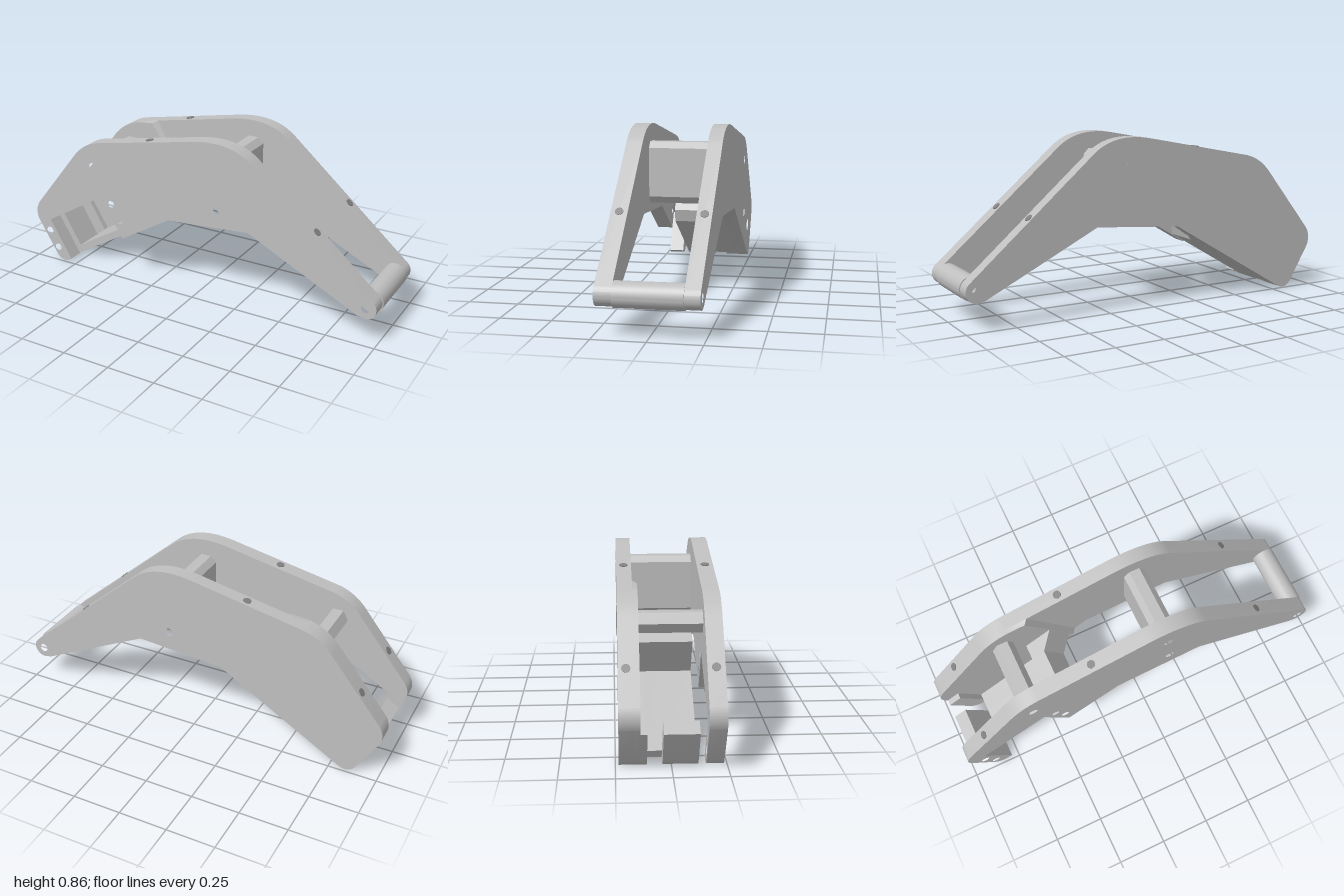
import * as THREE from 'three';
import { toCreasedNormals } from 'three/addons/utils/BufferGeometryUtils.js';

const metal = new THREE.MeshStandardMaterial({ color: 0xbfbfbf });
metal.name = 'plain grey';
const shade = new THREE.MeshStandardMaterial({ color: 0x808080 });
shade.name = 'hole grey';

// Slanted frame of the motor bay: u runs along its floor, v away from it
const U = [0.859, 0.512];
const uv = (u, v) => [u * U[0] - v * U[1], u * U[1] + v * U[0]];
const uOf = (x, y) => x * U[0] + y * U[1];

function shapeOf(points, holes = []) {
  const s = new THREE.Shape(points.map(p => new THREE.Vector2(...p)));
  return addHoles(s, holes);
}
function addHoles(s, holes) {
  for (const [x, y, r] of holes) s.holes.push(new THREE.Path().absarc(x, y, r, 0, Math.PI * 2, true));
  return s;
}

// Extrude between two depths, optionally moving vertices by a rule
function part(group, name, shape, z0, z1, move) {
  let g = new THREE.ExtrudeGeometry(shape, { depth: z1 - z0, bevelEnabled: false, curveSegments: 20 });
  g.translate(0, 0, z0);
  if (move) {
    const p = g.attributes.position;
    for (let i = 0; i < p.count; i++) {
      const d = move(uOf(p.getX(i), p.getY(i)), p.getZ(i));
      p.setX(i, p.getX(i) + d * U[0]);
      p.setY(i, p.getY(i) + d * U[1]);
    }
  }
  g = toCreasedNormals(g, 0.5);
  const m = new THREE.Mesh(g, metal);
  m.name = name;
  group.add(m);
}

// Rounded left end, from the floor corner up to the top edge
function leftEnd(s) {
  s.lineTo(...uv(-0.674, 0.415));
  s.quadraticCurveTo(...uv(-0.742, 0.415), ...uv(-0.742, 0.483));
  s.lineTo(-0.99, 0.21);
  s.quadraticCurveTo(-1.018, 0.266, -0.98, 0.32);
  s.lineTo(-0.725, 0.636);
  s.quadraticCurveTo(-0.658, 0.72, -0.564, 0.738);
}

function plateShape(notch, holes) {
  const s = new THREE.Shape();
  s.moveTo(0.906, 0.139);
  s.lineTo(0.313, 0.433);
  s.lineTo(-0.147, 0.396);
  if (notch) for (const [u, v] of [[-0.259, 0.415], [-0.259, 0.662], [-0.667, 0.662], [-0.667, 0.416]]) s.lineTo(...uv(u, v));
  leftEnd(s);
  s.lineTo(0.008, 0.85);
  s.quadraticCurveTo(0.214, 0.89, 0.33, 0.79);
  s.lineTo(0.974, 0.2315);
  s.absarc(0.938, 0.19, 0.055, 0.855, -2.03, true);
  return addHoles(s, holes);
}

export function createModel() {
  const root = new THREE.Group();
  root.name = 'legSegment';
  const r = 0.022;
  const leftPin = [-0.605, 0.598, r], upperPin = [0.125, 0.725, r], lowerPin = [0.14, 0.52, r], tipPin = [0.938, 0.19, r];
  const pins = [leftPin, upperPin, lowerPin, tipPin];
  const bayHoles = [[-0.775, 0.19, 0.033], [-0.595, 0.295, r]];
  const screws = [[-0.5, 0.41], [-0.45, 0.325], [-0.92, 0.16], [-0.87, 0.07]].map(p => [...p, 0.02]);

  // Side plates
  part(root, 'frontPlate', plateShape(true, [...pins, ...screws]), 0.155, 0.235);
  part(root, 'backPlate', plateShape(false, [...pins, ...bayHoles]), -0.235, -0.163);

  // Raised pad inside the back plate, with a sloped end
  const pad = new THREE.Shape();
  pad.moveTo(...uv(0, 0.415));
  leftEnd(pad);
  pad.lineTo(-0.453, 0.76);
  addHoles(pad, [leftPin, ...bayHoles]);
  part(root, 'backPad', pad, -0.163, -0.14, (u, z) => (u > -0.02 && z > -0.15 ? -0.023 : 0));

  // Motor bay: floor with left wall, wall split by a cable slot
  const bay = new THREE.Group();
  bay.name = 'motorBay';
  root.add(bay);
  const wall = new THREE.Shape();
  wall.moveTo(...uv(-0.15, 0.415));
  wall.lineTo(...uv(-0.674, 0.415));
  wall.quadraticCurveTo(...uv(-0.742, 0.415), ...uv(-0.742, 0.483));
  for (const [u, v] of [[-0.742, 0.66], [-0.667, 0.66], [-0.667, 0.453], [-0.15, 0.453]]) wall.lineTo(...uv(u, v));
  part(bay, 'floorAndWall', wall, -0.04, 0.12);
  part(bay, 'floorAndWallBehindSlot', wall, -0.14, -0.11);
  part(bay, 'slotFloor', shapeOf([[-0.15, 0.415], [-0.667, 0.415], [-0.667, 0.453], [-0.15, 0.453]].map(p => uv(...p))), -0.11, -0.04);

  // Right wall, flaring towards the back plate
  const block = shapeOf([[-0.183, 0.415], [-0.15, 0.415], [-0.103, 0.463], [-0.103, 0.655], [-0.183, 0.655]].map(p => uv(...p)));
  part(bay, 'rightWall', block, -0.06, 0.12);
  part(bay, 'rightWallFlare', block, -0.163, -0.06, (u, z) => (u > -0.165 && z < -0.1 ? 0.103 : 0));

  // Cross members between the plates
  const hex = [];
  for (let i = 0; i < 6; i++) {
    const a = i * Math.PI / 3;
    hex.push([-0.605 + 0.055 * Math.cos(a), 0.598 + 0.055 * Math.sin(a)]);
  }
  part(root, 'hexSpacer', shapeOf(hex, [leftPin]), -0.14, 0.155);
  const web = [[0.104, 0.465], [0.158, 0.465], [0.187, 0.5], [0.187, 0.745], [0.158, 0.775], [0.104, 0.775], [0.075, 0.745], [0.075, 0.5]];
  part(root, 'webSpacer', shapeOf(web, [upperPin, lowerPin]), -0.163, 0.155);
  part(root, 'tipRoller', addHoles(new THREE.Shape().absarc(0.938, 0.19, 0.06, 0, Math.PI * 2), [tipPin]), -0.163, 0.155);

  // Screw holes along the plate edges: position and direction of the edge normal
  const edgeHoles = [[-0.87, 0.456, -0.778, 0.628], [-0.27, 0.796, -0.192, 0.981], [0.66, 0.504, 0.655, 0.756]];
  for (const [x, y, nx, ny] of edgeHoles) for (const z of [-0.2, 0.195]) {
    const disc = new THREE.Mesh(new THREE.CylinderGeometry(0.02, 0.02, 0.006, 20), shade);
    disc.name = 'edgeHole';
    disc.position.set(x, y, z);
    disc.rotation.z = Math.atan2(-nx, ny);
    root.add(disc);
  }
  return root;
}
